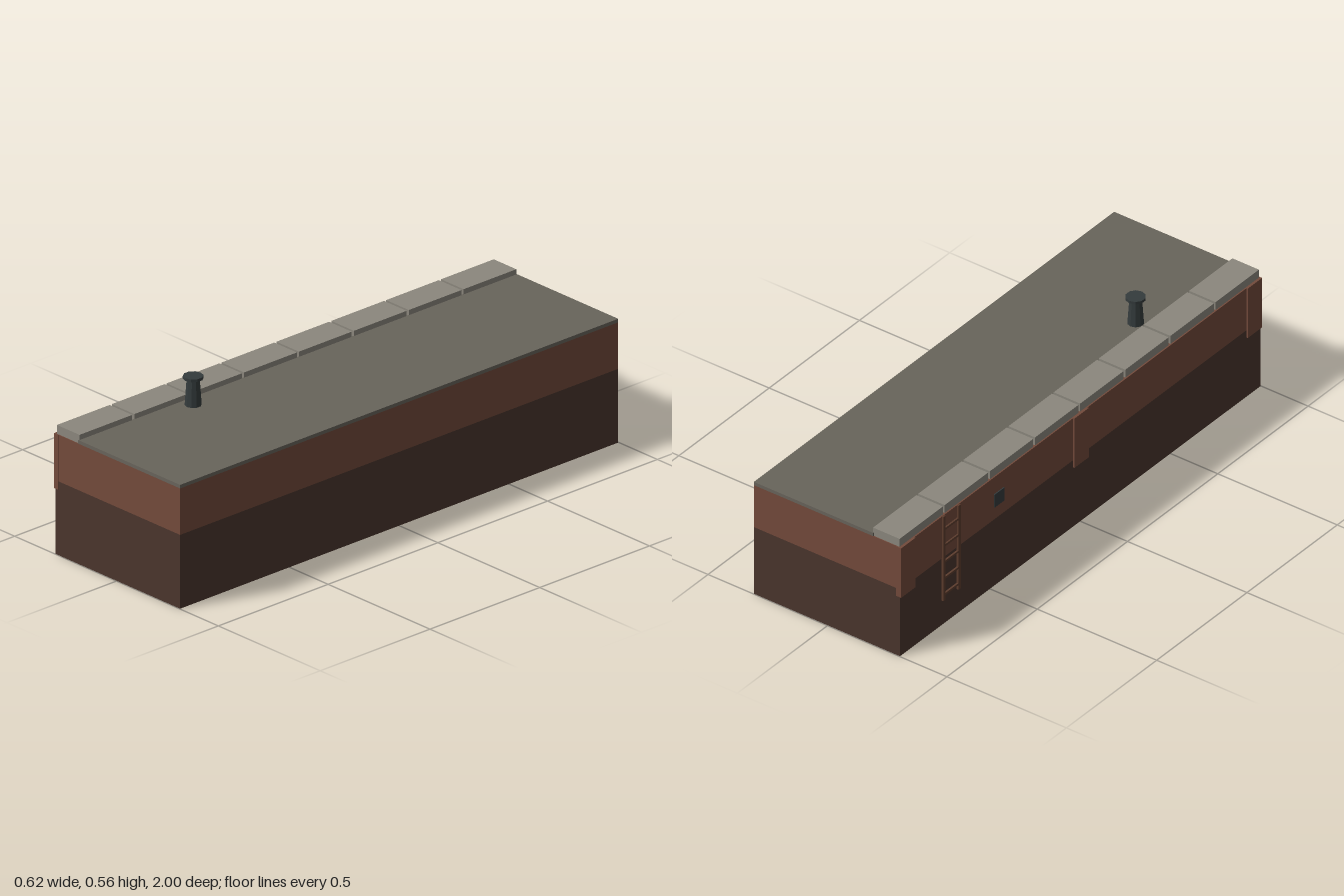
import * as THREE from 'three';

const material = (name, color) => {
  const m = new THREE.MeshStandardMaterial({ color, flatShading: true });
  m.name = name;
  return m;
};

export function createModel() {
  const quay = new THREE.Group();
  quay.name = 'quayWall';

  const brick = material('brick', 0x734a3b);
  const dampBrick = material('dampBrick', 0x4a352d);
  const paving = material('paving', 0x68645b);
  const coping = material('copingStone', 0x8b877d);
  const iron = material('iron', 0x343b3c);
  const rust = material('rustyIron', 0x5c3c2d);

  // Box given by its lower and upper limits on each axis
  const box = (name, mat, [x0, x1], [y0, y1], [z0, z1], parent = quay) => {
    const mesh = new THREE.Mesh(new THREE.BoxGeometry(x1 - x0, y1 - y0, z1 - z0), mat);
    mesh.position.set((x0 + x1) / 2, (y0 + y1) / 2, (z0 + z1) / 2);
    mesh.name = name;
    parent.add(mesh);
    return mesh;
  };

  // Wall: damp lower course, dry upper course, paved deck
  box('lowerWall', dampBrick, [-0.302, 0.31], [0, 0.27], [-0.998, 0.998]);
  box('upperWall', brick, [-0.303, 0.31], [0.27, 0.44], [-0.998, 0.998]);
  box('deck', paving, [-0.19, 0.31], [0.44, 0.453], [-0.998, 0.998]);

  // Coping stones with narrow joints
  for (let i = 0; i < 8; i++) {
    const z = -1 + i * 0.25;
    box('copingStone', coping, [-0.298, -0.187], [0.44, 0.472], [z + 0.005, z + 0.245]);
  }

  // Shallow piers on the water side
  for (const z of [-0.96, 0, 0.96]) {
    box('pier', brick, [-0.308, -0.286], [0.24, 0.44], [z - 0.04, z + 0.04]);
  }

  // Ladder
  const ladder = new THREE.Group();
  ladder.name = 'ladder';
  quay.add(ladder);
  const ladderZ = -0.72;
  for (const s of [-1, 1]) {
    const z = ladderZ + s * 0.042;
    box('ladderRail', rust, [-0.31, -0.301], [0.1, 0.44], [z - 0.006, z + 0.006], ladder);
  }
  for (let i = 0; i < 5; i++) {
    const y = 0.122 + i * 0.066;
    box('ladderRung', rust, [-0.309, -0.301], [y - 0.004, y + 0.004],
      [ladderZ - 0.04, ladderZ + 0.04], ladder);
  }

  // Mooring plate on the water side
  box('mooringPlate', iron, [-0.307, -0.3], [0.32, 0.372], [-0.48, -0.425]);

  // Bollard
  const bollard = new THREE.Group();
  bollard.name = 'bollard';
  bollard.position.set(-0.141, 0, 0.52);
  const post = new THREE.Mesh(new THREE.CylinderGeometry(0.022, 0.029, 0.1, 10), iron);
  post.name = 'bollardPost';
  post.position.y = 0.501;
  const cap = new THREE.Mesh(new THREE.CylinderGeometry(0.035, 0.035, 0.01, 10), iron);
  cap.name = 'bollardCap';
  cap.position.y = 0.555;
  bollard.add(post, cap);
  quay.add(bollard);

  return quay;
}
